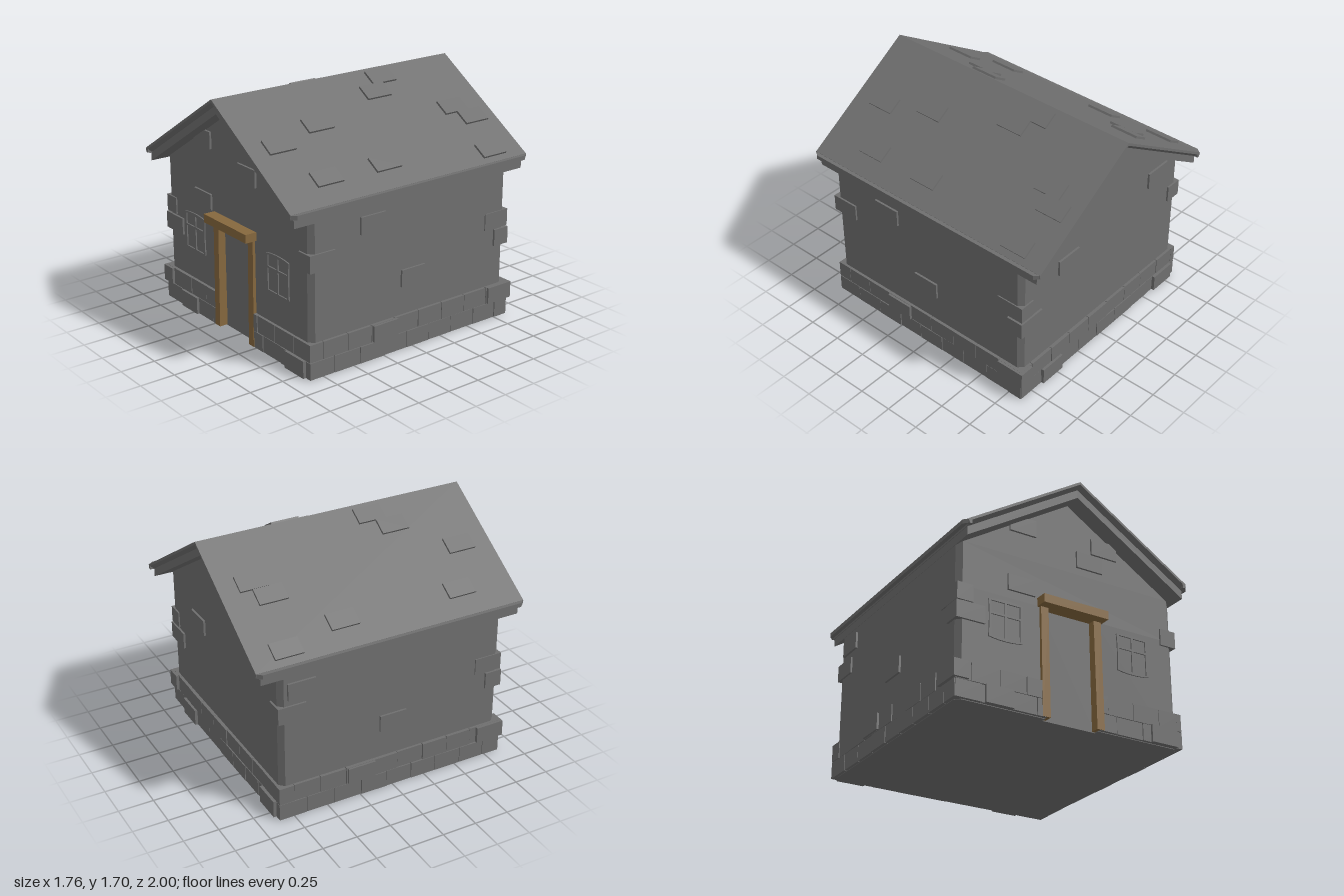
import * as THREE from 'three';

const stone = new THREE.MeshStandardMaterial({ color: 0x6f6f6f });
stone.name = 'grey stone';
const wood = new THREE.MeshStandardMaterial({ color: 0x86683e });
wood.name = 'brown wood';

const SLOPE = 0.63, PITCH = Math.atan(SLOPE), RIDGE = 1.7;

export function createModel() {
  const house = new THREE.Group();
  house.name = 'stoneHouse';

  const add = (name, geometry, material = stone, parent = house) => {
    const mesh = new THREE.Mesh(geometry, material);
    mesh.name = name;
    parent.add(mesh);
    return mesh;
  };
  // box given by its limits
  const block = (name, x0, x1, y0, y1, z0, z1, material, parent) => {
    const mesh = add(name, new THREE.BoxGeometry(x1 - x0, y1 - y0, z1 - z0), material, parent);
    mesh.position.set((x0 + x1) / 2, (y0 + y1) / 2, (z0 + z1) / 2);
    return mesh;
  };
  const shapeOf = pts => new THREE.Shape(pts.map(p => new THREE.Vector2(...p)));
  // plan outline (x, z) raised from y0 to y1
  const raise = (pts, y0, y1) =>
    new THREE.ExtrudeGeometry(shapeOf(pts.map(([x, z]) => [x, -z])), { depth: y1 - y0, bevelEnabled: false })
      .rotateX(-Math.PI / 2).translate(0, y0, 0);
  // front outline (x, y) extruded between -half and +half in z
  const alongZ = (pts, half) =>
    new THREE.ExtrudeGeometry(shapeOf(pts), { depth: 2 * half, bevelEnabled: false }).translate(0, 0, -half);

  // walls with chamfered corners and a recess for the door
  const w = 0.84, c = 0.805;
  const outline = [[-c, w], [-w, c], [-w, -c], [-c, -w], [c, -w], [w, -c], [w, c], [c, w]];
  const notch = [[0.2, w], [0.2, 0.805], [-0.2, 0.805], [-0.2, w]];
  add('lowerWalls', raise([...outline, ...notch], 0, 0.775));
  add('upperWalls', raise(outline, 0.775, 1.09));
  add('gableWalls', alongZ([[-0.805, 1.09], [0.805, 1.09], [0, 1.6]], w));

  // plinth of two brick courses on each side
  let seed = 7;
  const rand = () => (seed = (seed * 16807) % 2147483647) / 2147483647;
  const plinth = new THREE.Group();
  plinth.name = 'plinth';
  house.add(plinth);
  for (let side = 0; side < 4; side++) {
    const wall = new THREE.Group();
    wall.name = 'plinthSide';
    wall.rotation.y = side * Math.PI / 2;
    plinth.add(wall);
    for (let row = 0; row < 2; row++) {
      const y0 = row ? 0.126 : 0.004, y1 = row ? 0.248 : 0.122;
      let a = -0.86;
      while (a < 0.859) {
        let b = a + (a === -0.86 && row ? 0.1 : 0.19) + rand() * 0.02;
        if (b > 0.79) b = 0.862;
        const out = 0.857 + rand() * 0.008;
        const parts = side === 0 ? [[a, Math.min(b, -0.2)], [Math.max(a, 0.2), b]] : [[a, b]];
        for (const [p, q] of parts)
          if (q - p > 0.02) block('plinthBrick', p, q - 0.004, y0, y1, 0.82, out, stone, wall);
        a = b;
      }
    }
  }

  // projecting stones on the front and back: x0, x1, y0, y1
  const shared = [
    [-0.475, -0.27, 0.83, 0.945], [-0.65, -0.45, 0.004, 0.125], [0.605, 0.81, 0.004, 0.125]
  ];
  const frontOnly = [[-0.46, -0.26, 1.27, 1.39], [0.18, 0.385, 1.27, 1.39], [0.06, 0.265, 1.14, 1.26]];
  const backOnly = [[0.48, 0.69, 0.99, 1.11]];
  // projecting stones on the right side: z0, z1, y0, y1
  const sideShared = [[-0.1, 0.1, 0.45, 0.57], [0.145, 0.35, 0.13, 0.245]];
  const sideOnly = [[[0.24, 0.445, 0.9, 1.02]], [[0.58, 0.78, 0.9, 1.02]]];

  for (let turn = 0; turn < 2; turn++) {
    const half = new THREE.Group();
    half.name = turn ? 'backLeftStones' : 'frontRightStones';
    half.rotation.y = turn * Math.PI;
    house.add(half);
    for (const [x0, x1, y0, y1] of [...shared, ...(turn ? backOnly : frontOnly)])
      block('wallStone', x0, x1, y0, y1, 0.8, y0 < 0.2 ? 0.88 : 0.855, stone, half);
    for (const [z0, z1, y0, y1] of [...sideShared, ...sideOnly[turn]])
      block('sideStone', 0.8, y0 < 0.2 ? 0.878 : 0.855, y0, y1, z0, z1, stone, half);
    // corner stones
    block('cornerStone', -0.848, -0.73, 0.67, 0.79, 0.645, 0.85, stone, half);
    block('cornerStone', -0.855, -0.645, 0.54, 0.66, 0.73, 0.855, stone, half);
    block('cornerStone', 0.73, 0.853, 0.735, 0.855, 0.65, 0.853, stone, half);
    block('cornerStone', -0.88, -0.77, 0.13, 0.247, 0.67, 0.88, stone, half);
  }

  // door frame
  for (const s of [-1, 1]) {
    const post = new THREE.BoxGeometry(0.057, 0.765, 0.062);
    const p = post.attributes.position;
    for (let i = 0; i < p.count; i++)
      if (p.getY(i) > 0) p.setZ(i, p.getZ(i) - (p.getZ(i) > 0 ? 0.008 : 0));
    post.computeVertexNormals();
    add('doorPost', post, wood).position.set(s * 0.205, 0.388, 0.836);
  }
  block('doorLintel', -0.25, 0.25, 0.77, 0.83, 0.8, 0.925, wood);

  // windows: bowed frames with four openings
  for (const s of [-1, 1]) {
    const frame = new THREE.Group();
    frame.name = 'window';
    frame.position.set(s * 0.492, 0, 0.835);
    house.add(frame);
    const bow = (k, low, high, bulge) => {
      const shape = new THREE.Shape();
      shape.moveTo(-k, low);
      shape.quadraticCurveTo(0, low - bulge, k, low);
      shape.quadraticCurveTo(k - 0.01, (low + high) / 2, k, high);
      shape.quadraticCurveTo(0, high + bulge, -k, high);
      shape.quadraticCurveTo(0.01 - k, (low + high) / 2, -k, low);
      return shape;
    };
    const outer = bow(0.126, 0.468, 0.73, 0.024);
    for (const [x0, x1] of [[-0.107, -0.007], [0.007, 0.107]])
      for (const [y0, y1] of [[0.475, 0.628], [0.642, 0.722]]) {
        const hole = new THREE.Path();
        hole.moveTo(x0, y0).lineTo(x0, y1).lineTo(x1, y1).lineTo(x1, y0).closePath();
        outer.holes.push(hole);
      }
    add('windowFrame', new THREE.ExtrudeGeometry(outer, { depth: 0.014, bevelEnabled: false, curveSegments: 6 }), stone, frame);
  }

  // roof layers: chevron band between two apex heights
  const chevron = (top, low, x) => [
    [0, top], [-x, top - SLOPE * x], [-x, low - SLOPE * x], [0, low], [x, low - SLOPE * x], [x, top - SLOPE * x]
  ];
  add('roofCover', alongZ(chevron(RIDGE, 1.68, 0.855), 1));
  const bevel = alongZ(chevron(1.68, 1.655, 0.855), 1);
  const bp = bevel.attributes.position;
  for (let i = 0; i < bp.count; i++)
    if (bp.getY(i) + SLOPE * Math.abs(bp.getX(i)) < 1.67) bp.setZ(i, bp.getZ(i) * 0.972);
  bevel.computeVertexNormals();
  add('roofBevel', bevel);
  add('roofUnderside', alongZ(chevron(1.656, 1.595, 0.845), 0.965));

  // eave boards with clipped corners
  for (const s of [-1, 1]) {
    const plan = [[0.83, 1], [0.85, 1], [0.882, 0.965], [0.882, -0.965], [0.85, -1], [0.83, -1]];
    const board = add('eaveBoard', raise(plan, 1.13, 1.16));
    if (s < 0) board.rotation.y = Math.PI;
  }

  // raised shingles: upper edge |x| and back edge z on each slope
  const shingles = {
    '-1': [[0.71, -0.845], [0.375, -0.78], [0.272, -0.865], [0.63, -0.4], [0.03, 0.14], [0.13, 0.265], [0.63, 0.49], [0.355, 0.66]],
    '1': [[0.355, -0.815], [0.455, -0.915], [0.715, -0.845], [0.03, -0.435], [0.13, -0.31], [0.63, 0.015], [0.27, 0.29], [0.63, 0.49], [0.355, 0.66]]
  };
  for (const s of [-1, 1])
    for (const [x, z] of shingles[s]) {
      const tile = add('shingle', new THREE.BoxGeometry(0.12, 0.03, 0.204));
      tile.position.set(s * (x + 0.05), RIDGE - SLOPE * (x + 0.05), z + 0.102);
      tile.rotation.z = -s * PITCH;
    }

  return house;
}
